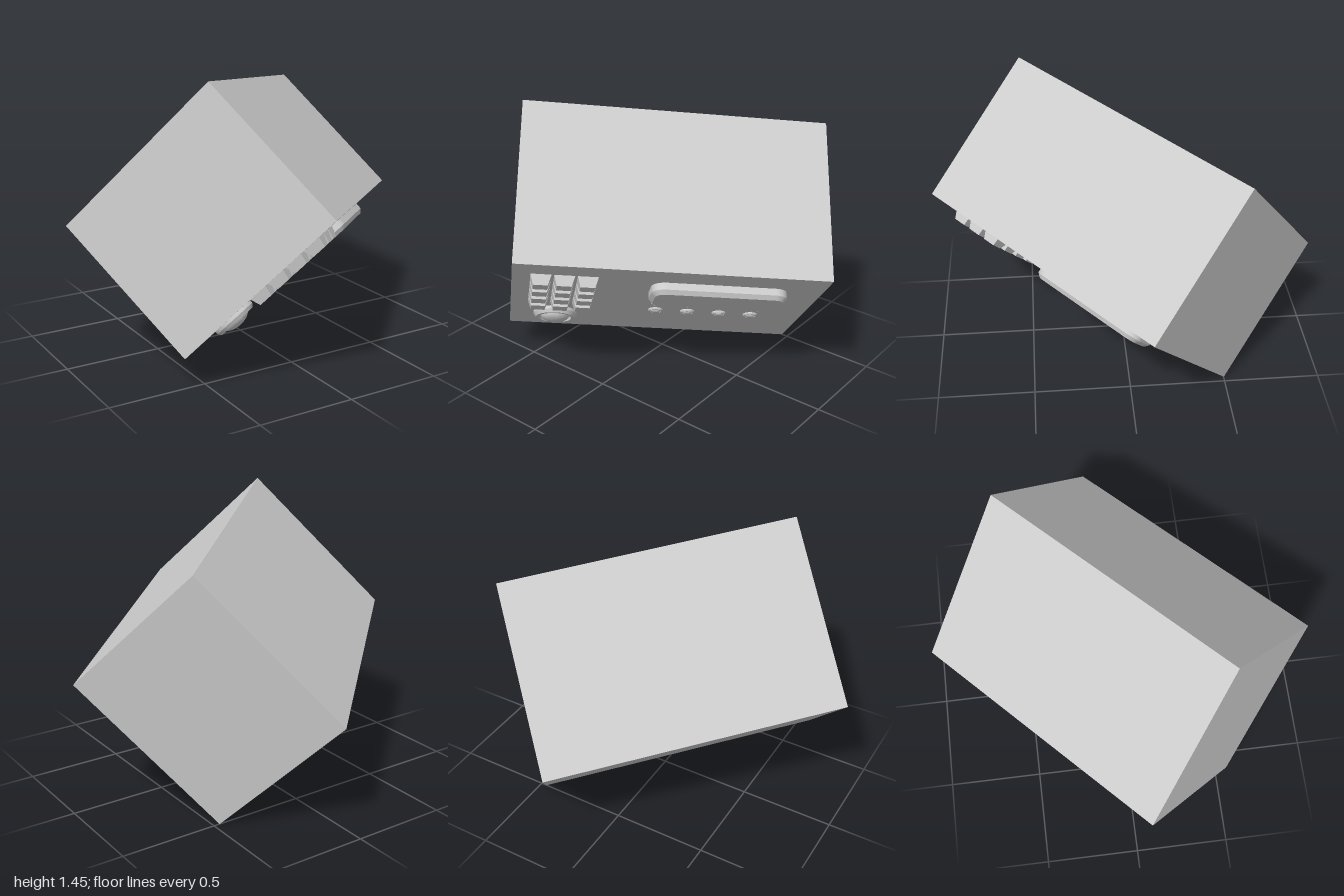
import * as THREE from 'three';
import { toCreasedNormals } from 'three/addons/utils/BufferGeometryUtils.js';

const W = 1.525, H = 0.982, D = 0.842;
const material = new THREE.MeshStandardMaterial({ color: 0xcccccc });

// Adds a part on the front panel; s runs right and t down from its top corner.
function addPart(parent, name, geometry, s = W / 2, t = H / 2, z = D / 2) {
  const mesh = new THREE.Mesh(geometry, material);
  mesh.name = name;
  mesh.position.set(s - W / 2, H / 2 - t, z);
  parent.add(mesh);
  return mesh;
}

function roundedRect(w, h, r) {
  const x = w / 2, y = h / 2, q = Math.PI / 2;
  const shape = new THREE.Shape();
  shape.absarc(x - r, y - r, r, 0, q);
  shape.absarc(-x + r, y - r, r, q, 2 * q);
  shape.absarc(-x + r, -y + r, r, 2 * q, 3 * q);
  shape.absarc(x - r, -y + r, r, 3 * q, 4 * q);
  shape.closePath();
  return shape;
}

// Key cap: a box whose front end is narrower
function keyGeometry(size, height, taper) {
  const g = new THREE.BoxGeometry(size, size, height).translate(0, 0, height / 2);
  const p = g.attributes.position;
  for (let i = 0; i < p.count; i++) {
    if (p.getZ(i) > height / 2) p.setXY(i, p.getX(i) * taper, p.getY(i) * taper);
  }
  return toCreasedNormals(g, 0.3);
}

// Domed button inside a raised ring
function buttonGeometry(radius) {
  const profile = [[1, 0], [1, 0.14], [0.88, 0.3], [0.76, 0.3], [0.7, 0.17]];
  for (let i = 0; i <= 8; i++) {
    const a = (i / 8) * Math.PI / 2;
    profile.push([0.66 * Math.cos(a), 0.17 + 0.33 * Math.sin(a)]);
  }
  const points = profile.map(([r, y]) => new THREE.Vector2(r * radius, y * radius));
  return toCreasedNormals(new THREE.LatheGeometry(points, 40).rotateX(Math.PI / 2), 0.5);
}

export function createModel() {
  const model = new THREE.Group();
  model.name = 'controlBox';

  // Tilted frame that carries every part
  const frame = new THREE.Group();
  frame.name = 'tiltedBox';
  frame.quaternion.setFromRotationMatrix(new THREE.Matrix4().makeBasis(
    new THREE.Vector3(0.7195, -0.1115, -0.6854),
    new THREE.Vector3(0.5397, 0.7128, 0.4481),
    new THREE.Vector3(0.4386, -0.6923, 0.573)));
  frame.position.y = 0.73;
  model.add(frame);

  addPart(frame, 'body', new THREE.BoxGeometry(W, H, D), W / 2, H / 2, 0);

  // Display with bevelled rim
  const display = new THREE.ExtrudeGeometry(roundedRect(0.635, 0.195, 0.05), {
    depth: 0.035, bevelSize: 0.02, bevelThickness: 0.02, bevelSegments: 1, curveSegments: 5,
  });
  addPart(frame, 'display', toCreasedNormals(display, 0.5), 1.0125, 0.2725);

  // Keypad: three columns, four rows
  const keypad = new THREE.Group();
  keypad.name = 'keypad';
  frame.add(keypad);
  const key = keyGeometry(0.1, 0.05, 0.7);
  for (let row = 0; row < 4; row++) {
    for (let col = 0; col < 3; col++) {
      addPart(keypad, 'key', key, 0.138 + col * 0.112, 0.181 + row * 0.115);
    }
  }

  // Two rows of small buttons
  const buttons = new THREE.Group();
  buttons.name = 'buttons';
  frame.add(buttons);
  const small = buttonGeometry(0.038);
  for (let row = 0; row < 2; row++) {
    for (let col = 0; col < 4; col++) {
      addPart(buttons, 'smallButton', small, 0.75 + col * 0.168, 0.496 + row * 0.12);
    }
  }

  addPart(frame, 'largeButton', buttonGeometry(0.113), 0.235, 0.752);
  return model;
}
